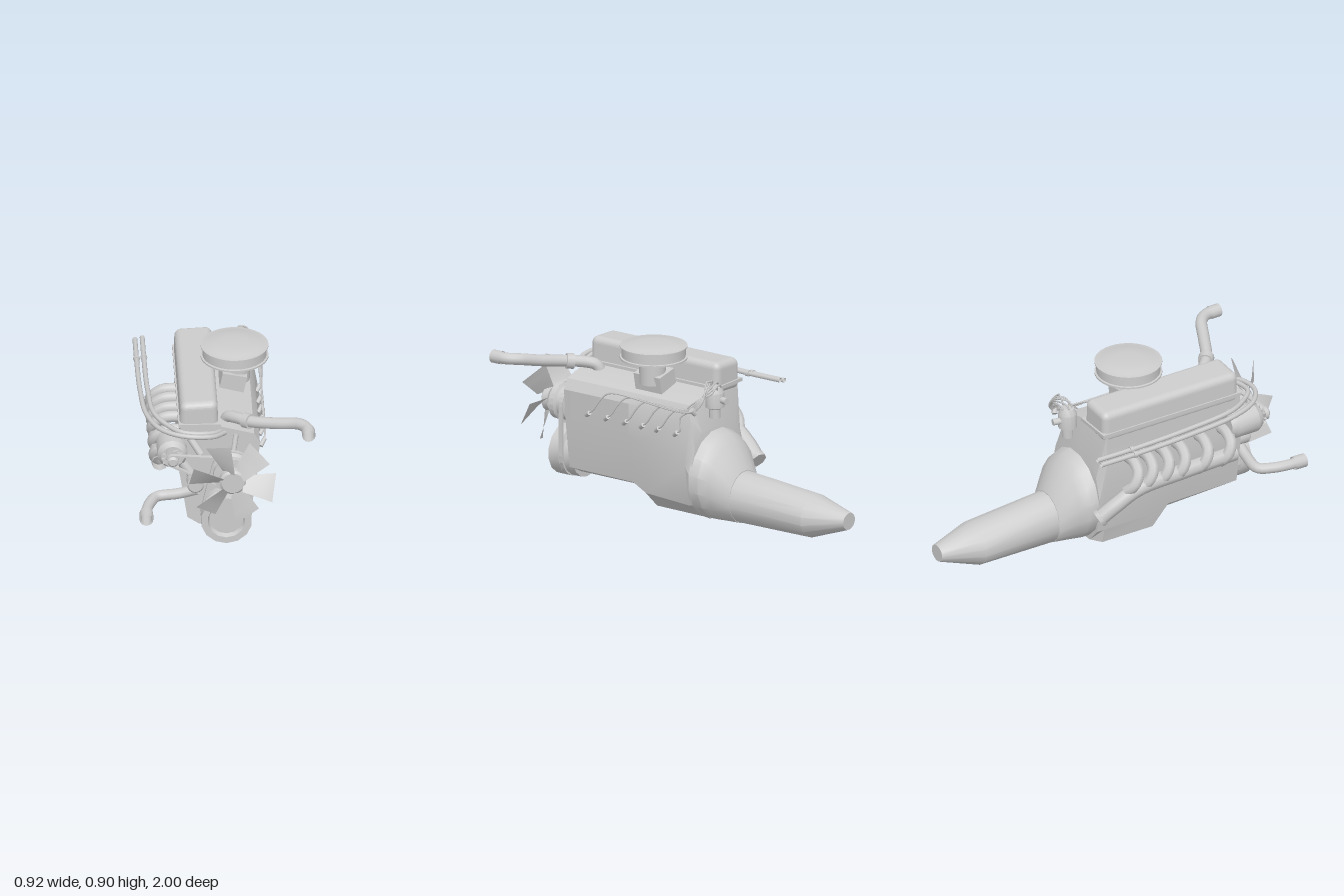
import * as THREE from 'three';
import { toCreasedNormals } from 'three/addons/utils/BufferGeometryUtils.js';
import { RoundedBoxGeometry } from 'three/addons/geometries/RoundedBoxGeometry.js';

const grey = new THREE.MeshStandardMaterial({ color: 0xcccccc });
const thin = new THREE.MeshStandardMaterial({ color: 0xcccccc, side: THREE.DoubleSide });

// Skin through cross-sections [z, [[x, y], ...]] that run from front to back
function loft(sections) {
  const pos = [], idx = [], n = sections[0][1].length, last = (sections.length - 1) * n;
  sections.forEach(([z, pts]) => pts.forEach(([x, y]) => pos.push(x, y, z)));
  for (let i = 0; i < sections.length - 1; i++) {
    for (let j = 0; j < n; j++) {
      const a = i * n + j, b = i * n + (j + 1) % n, c = b + n, d = a + n;
      idx.push(a, d, c, a, c, b);
    }
  }
  for (let j = 1; j < n - 1; j++) idx.push(0, j, j + 1, last, last + j + 1, last + j);
  const g = new THREE.BufferGeometry();
  g.setAttribute('position', new THREE.Float32BufferAttribute(pos, 3));
  g.setIndex(idx);
  return toCreasedNormals(g, 0.5);
}

function ellipse(cx, cy, rx, ry, n = 16) {
  return Array.from({ length: n }, (_, i) => {
    const a = (i + 0.5) / n * Math.PI * 2;
    return [cx + rx * Math.cos(a), cy + ry * Math.sin(a)];
  });
}

// Band wrapped around two pulleys
function beltOutline(a, b, grow, Type) {
  const dx = b.x - a.x, dy = b.y - a.y, phi = Math.atan2(dy, dx);
  const beta = Math.acos((a.r - b.r) / Math.hypot(dx, dy)), pts = [];
  const arc = (c, from, to) => {
    for (let i = 0; i <= 12; i++) {
      const t = from + (to - from) * i / 12;
      pts.push(new THREE.Vector2(c.x + (c.r + grow) * Math.cos(t), c.y + (c.r + grow) * Math.sin(t)));
    }
  };
  arc(b, phi - beta, phi + beta);
  arc(a, phi + beta, phi + Math.PI * 2 - beta);
  return new Type(pts);
}

export function createModel() {
  const model = new THREE.Group();
  const add = (name, geo, x = 0, y = 0, z = 0, mat = grey) => {
    const m = new THREE.Mesh(geo, mat);
    m.name = name;
    m.position.set(x, y, z);
    model.add(m);
    return m;
  };
  const tube = (name, pts, r, sides = 10, steps = 28) => add(name, new THREE.TubeGeometry(
    new THREE.CatmullRomCurve3(pts.map(p => new THREE.Vector3(...p))), steps, r, sides), 0, 0, 0, thin);
  // Turned part along z from [radius, z] pairs, back to front
  const turned = (name, profile, x, y, sides = 20) => {
    const g = new THREE.LatheGeometry(profile.map(p => new THREE.Vector2(...p)), sides);
    g.rotateX(Math.PI / 2);
    return add(name, toCreasedNormals(g, 0.5), x, y, 0);
  };
  // Short collar between two points
  const collar = (name, from, to, r, sides = 12) => {
    const a = new THREE.Vector3(...from), d = new THREE.Vector3(...to).sub(a);
    const m = add(name, new THREE.CylinderGeometry(r, r, d.length(), sides, 1), 0, 0, 0, grey);
    m.position.copy(a).addScaledVector(d, 0.5);
    m.quaternion.setFromUnitVectors(new THREE.Vector3(0, 1, 0), d.normalize());
    return m;
  };

  // Block, head and oil pan in one skin
  const upper = [[0.18, 0.58], [0.15, 0.635], [-0.02, 0.68], [-0.235, 0.68], [-0.235, 0.5], [-0.24, 0.4]];
  add('engineBlock', loft([
    [0.72, [[0.05, 0.1], [0.13, 0.14], [0.165, 0.4], ...upper, [-0.2, 0.14], [-0.14, 0.1]]],
    [0.3, [[0.05, 0.1], [0.14, 0.14], [0.18, 0.4], ...upper, [-0.2, 0.13], [-0.17, 0.1]]],
    [0.21, [[0.05, 0.005], [0.15, 0.1], [0.185, 0.4], ...upper, [-0.205, 0.1], [-0.19, 0.015]]],
    [-0.1, [[0.05, 0.003], [0.19, 0.1], [0.225, 0.32], ...upper, [-0.21, 0.1], [-0.19, 0.015]]],
    [-0.145, [[0.06, 0.002], [0.2, 0.11], [0.24, 0.27], [0.2, 0.42], [0.14, 0.49], [-0.02, 0.5],
      [-0.15, 0.49], [-0.2, 0.42], [-0.235, 0.3], [-0.21, 0.1], [-0.14, 0.02]]],
  ]));

  // Bell housing and gearbox
  add('bellHousing', loft([
    [-0.135, ellipse(0.005, 0.245, 0.24, 0.245)], [-0.19, ellipse(0.005, 0.233, 0.235, 0.232)],
    [-0.24, ellipse(0.005, 0.215, 0.205, 0.213)], [-0.325, ellipse(0.005, 0.145, 0.137, 0.143)],
  ]));
  add('gearbox', loft([
    [-0.31, ellipse(0.005, 0.145, 0.135, 0.14)], [-0.78, ellipse(0.003, 0.125, 0.13, 0.115)],
    [-1, ellipse(0, 0.135, 0.052, 0.046)],
  ]));

  // Valve cover, narrowing slightly to the top
  const cover = new RoundedBoxGeometry(0.205, 0.17, 0.83, 4, 0.035);
  const cp = cover.attributes.position;
  for (let i = 0; i < cp.count; i++) {
    cp.setX(i, cp.getX(i) * (0.97 - 0.25 * cp.getY(i)));
    cp.setY(i, cp.getY(i) + 0.05 * cp.getX(i));
  }
  cover.computeVertexNormals();
  add('valveCover', cover, -0.138, 0.729, 0.298);
  add('valveCoverFlange', new THREE.BoxGeometry(0.222, 0.018, 0.85), -0.135, 0.687, 0.298);

  // Carburettor and air cleaner
  const base = add('carburettorBase', new THREE.BoxGeometry(0.13, 0.11, 0.17), 0.055, 0.695, 0.22);
  base.rotation.z = -0.2;
  add('carburettor', new THREE.CylinderGeometry(0.07, 0.07, 0.14, 20), 0.077, 0.755, 0.22);
  const air = [[0, 0.82], [0.178, 0.82], [0.178, 0.829], [0.168, 0.831], [0.168, 0.882], [0.178, 0.884],
    [0.178, 0.89], [0.15, 0.893], [0.135, 0.899], [0.07, 0.905], [0, 0.906]];
  add('airCleaner', toCreasedNormals(new THREE.LatheGeometry(air.map(p => new THREE.Vector2(...p)), 36), 0.5), 0.067, 0, 0.22);

  // Pulleys and belts
  const pump = { x: 0.03, y: 0.46, r: 0.095 }, crank = { x: 0, y: 0.19, r: 0.125 };
  const alt = { x: -0.28, y: 0.55, r: 0.025 }, pumpHub = { x: 0.03, y: 0.46, r: 0.09 };
  turned('crankPulley', [[0, 0.7], [0.13, 0.7], [0.13, 0.76], [0.11, 0.77], [0.11, 0.78], [0.135, 0.79],
    [0.135, 0.855], [0.1, 0.855], [0.09, 0.83], [0, 0.83]], crank.x, crank.y, 14);
  turned('waterPump', [[0, 0.7], [0.07, 0.7], [0.085, 0.76], [0.1, 0.765], [0.1, 0.79], [0.085, 0.8], [0.085, 0.82],
    [0.1, 0.83], [0.1, 0.86], [0.045, 0.865], [0.045, 0.9], [0, 0.9]], pump.x, pump.y);
  [[pump, crank, 0.765], [alt, pumpHub, 0.83]].forEach(([a, b, z]) => {
    const s = beltOutline(a, b, 0.01, THREE.Shape);
    s.holes.push(beltOutline(a, b, 0, THREE.Path));
    add('belt', new THREE.ExtrudeGeometry(s, { depth: 0.022, bevelEnabled: false }), 0, 0, z);
  });

  // Fan with six twisted blades
  turned('fanHub', [[0, 0.89], [0.07, 0.89], [0.07, 0.925], [0.058, 0.935], [0, 0.935]], pump.x, pump.y, 24);
  const blade = new THREE.PlaneGeometry(1, 1, 3, 1), bp = blade.attributes.position;
  for (let i = 0; i < bp.count; i++) {
    const t = bp.getX(i) + 0.5, s = bp.getY(i);
    bp.setXYZ(i, 0.055 + 0.165 * t, s * (0.06 + 0.075 * t), -s * 0.075);
  }
  blade.computeVertexNormals();
  for (let i = 0; i < 6; i++) {
    add('fanBlade', blade, pump.x, pump.y, 0.922, thin).rotation.z = (-10 + 60 * i) * Math.PI / 180;
  }

  // Alternator with toothed cooling fan
  turned('alternator', [[0, 0.61], [0.06, 0.61], [0.08, 0.64], [0.08, 0.77], [0.06, 0.8], [0, 0.8]], alt.x, alt.y, 14);
  const teeth = new THREE.Shape();
  for (let i = 0; i < 24; i++) {
    const a = (i + (i % 2 ? 0.8 : 0)) / 24 * Math.PI * 2, r = i % 2 ? 0.042 : 0.058;
    teeth[i ? 'lineTo' : 'moveTo'](r * Math.cos(a), r * Math.sin(a));
  }
  add('alternatorFan', new THREE.ExtrudeGeometry(teeth, { depth: 0.012, bevelEnabled: false }), alt.x, alt.y, 0.81);
  turned('alternatorPulley', [[0, 0.79], [0.03, 0.82], [0.03, 0.855], [0.02, 0.865], [0, 0.865]], alt.x, alt.y, 12);
  collar('alternatorBracket', [-0.25, 0.5, 0.71], [-0.16, 0.38, 0.73], 0.025, 8);
  turned('pumpInlet', [[0, 0.7], [0.045, 0.7], [0.045, 0.8], [0.035, 0.81], [0, 0.81]], -0.16, 0.375, 14);

  // Exhaust manifold with six runners
  [0.03, 0.12, 0.22, 0.32, 0.46, 0.6].forEach(z => tube('exhaustRunner',
    [[-0.22, 0.52, z], [-0.3, 0.515, z], [-0.355, 0.475, z - 0.01], [-0.365, 0.42, z - 0.04], [-0.335, 0.38, z - 0.07]], 0.032, 8, 12));
  tube('exhaustCollector', [[-0.34, 0.41, 0.62], [-0.345, 0.4, 0.3], [-0.345, 0.38, 0.02], [-0.325, 0.31, -0.1], [-0.3, 0.245, -0.18]], 0.043, 8);
  collar('exhaustFlange', [-0.302, 0.25, -0.172], [-0.297, 0.238, -0.19], 0.05, 8);

  // Radiator hoses with end sleeves
  tube('lowerHose', [[-0.15, 0.33, 0.76], [-0.25, 0.3, 0.75], [-0.36, 0.285, 0.75], [-0.4, 0.285, 0.82], [-0.42, 0.287, 0.9], [-0.425, 0.288, 0.998]], 0.029);
  tube('lowerHoseSleeve', [[-0.423, 0.288, 0.93], [-0.425, 0.288, 1]], 0.036, 12, 1);
  tube('upperHose', [[0.0, 0.64, 0.61], [0.015, 0.69, 0.63], [0.06, 0.71, 0.68], [0.13, 0.72, 0.74], [0.27, 0.745, 0.81],
    [0.38, 0.77, 0.865], [0.42, 0.773, 0.92], [0.424, 0.773, 0.998]], 0.031, 12, 40);
  tube('upperHoseSleeve', [[0.424, 0.773, 0.94], [0.425, 0.773, 1]], 0.035, 12, 1);
  collar('upperHoseClamp', [0.1, 0.715, 0.715], [0.13, 0.72, 0.742], 0.041);

  // Pair of heater pipes along the right side
  [0, 0.038].forEach(d => {
    const x = -0.435 + d, y = 0.657 + d * 0.25;
    tube('heaterPipe', [[x, y, -0.26], [x, y, -0.05], [x + 0.005, y + 0.01, 0.3], [x + 0.03, y + 0.02, 0.58],
      [x + 0.1, 0.68, 0.74 - d], [-0.22, 0.68, 0.815 - d], [-0.07, 0.665, 0.8 - d], [0.0, 0.64, 0.71 - d]], 0.013, 8, 40);
    collar('heaterPipeClamp', [x, y, -0.06], [x, y, -0.04], 0.018, 8);
  });

  // Small tubes on the front of the block
  collar('fillerTube', [-0.13, 0.54, 0.76], [-0.185, 0.615, 0.72], 0.02, 8);
  collar('frontFitting', [0.04, 0.55, 0.76], [0.055, 0.64, 0.73], 0.014, 8);

  // Distributor at the back
  const dist = [[0, 0.56], [0.03, 0.56], [0.03, 0.61], [0.05, 0.62], [0.05, 0.7], [0.035, 0.73], [0, 0.735]];
  add('distributor', toCreasedNormals(new THREE.LatheGeometry(dist.map(p => new THREE.Vector2(...p)), 14), 0.5), 0.05, 0, -0.165);

  // Spark plug leads running forward and dropping to the plugs
  [0.55, 0.43, 0.31, 0.2, 0.1, -0.02].forEach((z, i) => {
    const a = i / 6 * Math.PI * 2, cx = 0.05 + 0.03 * Math.cos(a), cz = -0.165 + 0.03 * Math.sin(a);
    const s = i * 0.006, run = Math.max(z - 0.14, -0.11);
    tube('plugLead', [[cx, 0.71, cz], [cx + 0.02, 0.77 - s, cz - 0.01], [0.13, 0.775 - s * 2, -0.17 - s],
      [0.19, 0.69, -0.19 + s], [0.215, 0.625 + s * 0.5, -0.14 + s], [0.205, 0.622, run], [0.212, 0.58, run + 0.05],
      [0.215, 0.51, z - 0.04], [0.205, 0.485, z]], 0.005, 5, 44);
    collar('plugBoot', [0.212, 0.495, z - 0.02], [0.19, 0.47, z + 0.015], 0.012, 8);
  });
  collar('leadClip', [0.2, 0.615, -0.15], [0.225, 0.64, -0.14], 0.016, 8);
  collar('vacuumUnit', [0.05, 0.665, -0.2], [0.06, 0.665, -0.25], 0.018, 10);

  return model;
}
